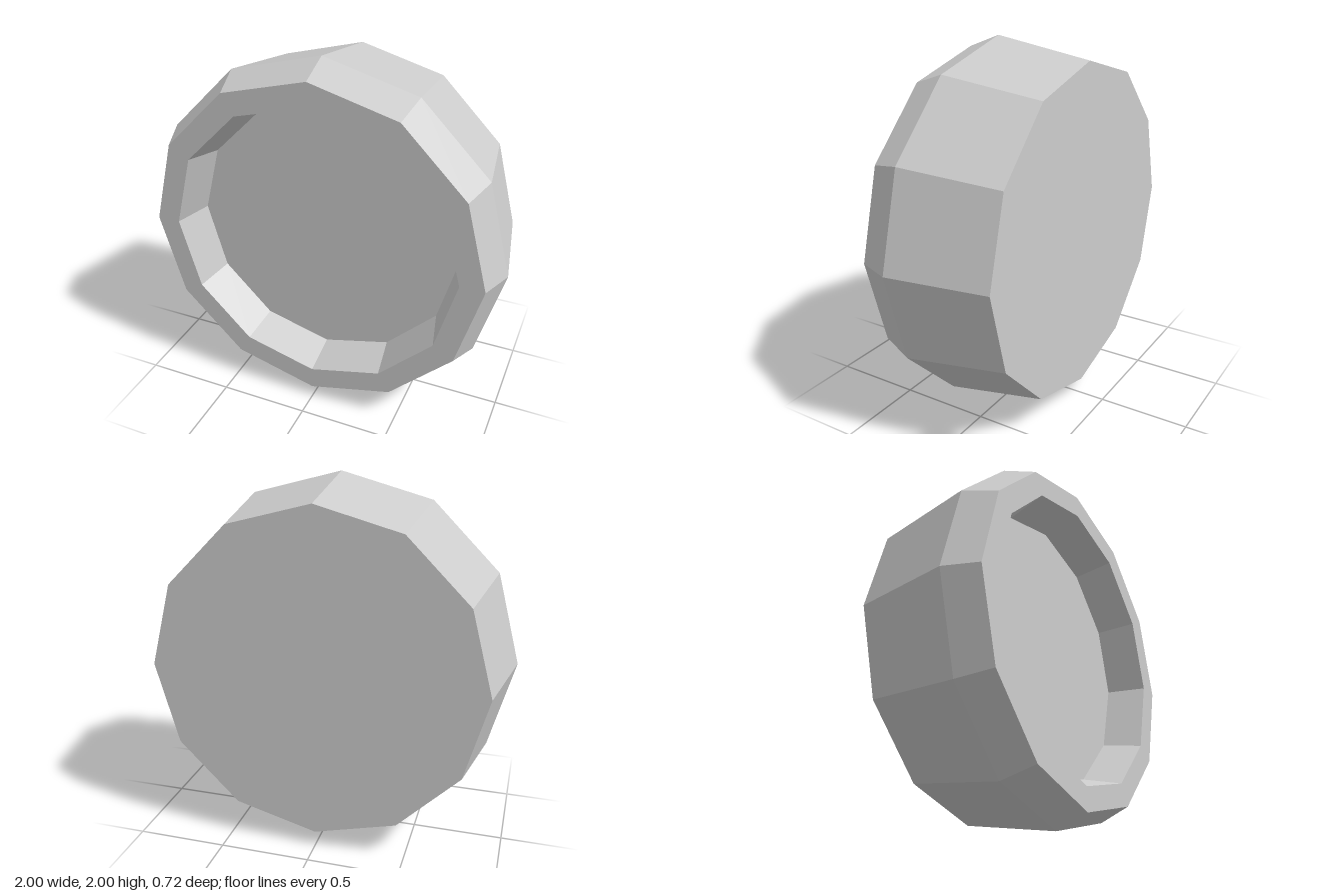
import * as THREE from 'three';

const SIDES = 12;

export function createModel() {
  const group = new THREE.Group();
  const grey = new THREE.MeshStandardMaterial({ color: 0xcccccc });
  grey.name = 'light grey';

  const add = (name, geometry) => {
    const mesh = new THREE.Mesh(geometry, grey);
    mesh.name = name;
    mesh.position.y = 1;
    group.add(mesh);
    return mesh;
  };

  // Faceted ring around the z axis from [radius, z] pairs
  const ring = (name, profile) => {
    const points = profile.map(([r, z]) => new THREE.Vector2(r, z));
    const geometry = new THREE.LatheGeometry(points, SIDES).rotateX(Math.PI / 2).toNonIndexed();
    geometry.computeVertexNormals();
    return add(name, geometry);
  };

  // Outer wall: widens toward the front, then a short chamfer
  ring('outerWall', [[0.91, -0.36], [1, 0.18], [0.93, 0.36]]);
  // Flat front rim
  ring('frontRim', [[0.93, 0.36], [0.8, 0.36]]);
  // Sloping wall of the recess
  ring('recessWall', [[0.8, 0.36], [0.745, 0.145]]);

  // Recess floor and closed back
  add('recessFloor', new THREE.CircleGeometry(0.745, SIDES)).position.z = 0.145;
  add('backFace', new THREE.CircleGeometry(0.91, SIDES).rotateY(Math.PI)).position.z = -0.36;

  return group;
}
